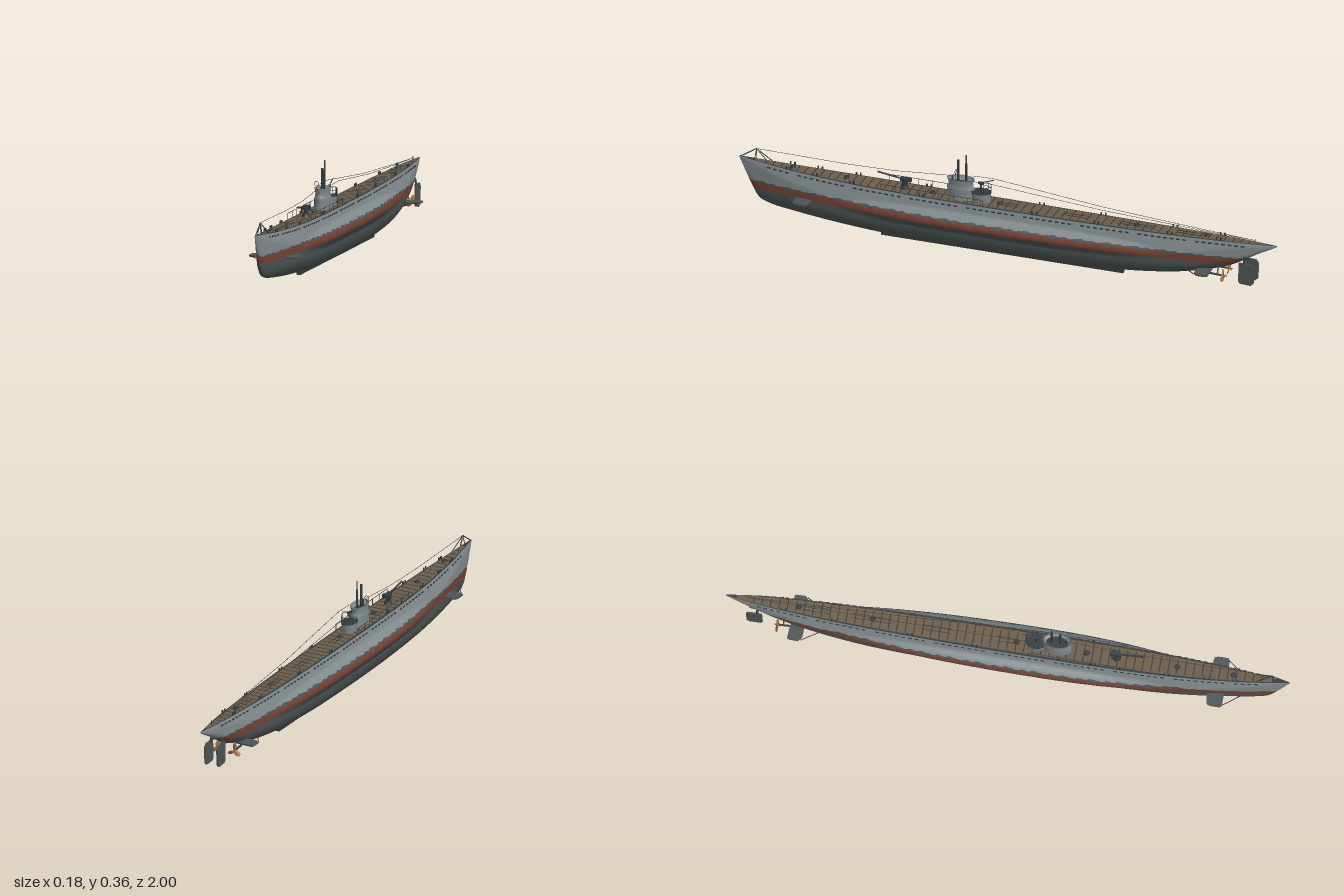
import * as THREE from 'three';

const mat = (name, color, side = THREE.FrontSide) => {
  const m = new THREE.MeshStandardMaterial({ color, side });
  m.name = name;
  return m;
};
const curve = (pts) => {
  const c = new THREE.CubicInterpolant(pts.map((p) => p[0]), pts.map((p) => p[1]), 1);
  return (t) => c.evaluate(t)[0];
};
const clamp = THREE.MathUtils.clamp;

// Hull lines along z: keel height, deck height, and half widths of body, tanks and deck
const keelY = curve([[-1, .192], [-.93, .155], [-.85, .108], [-.75, .07], [-.6, .037], [-.3, .01], [0, .004], [.3, .007],
  [.6, .022], [.8, .04], [.89, .054], [.925, .07], [.945, .1], [1, .214]]);
const deckY = curve([[-1, .197], [-.5, .191], [0, .19], [.5, .193], [.8, .203], [1, .216]]);
const bodyW = curve([[-1, .001], [-.95, .011], [-.85, .026], [-.7, .045], [-.5, .061], [-.2, .07], [.3, .07], [.55, .062],
  [.7, .049], [.85, .029], [.94, .013], [1, .001]]);
const tankW = curve([[-.72, .038], [-.5, .066], [-.3, .082], [0, .091], [.3, .088], [.5, .073], [.7, .046]]);
const deckW = curve([[-1, .001], [-.9, .015], [-.7, .03], [-.3, .043], [.3, .046], [.6, .039], [.8, .025], [.92, .012], [1, .001]]);

function halfWidth(z, y) {
  const k = keelY(z), d = deckY(z), yc = Math.max(.09, k + .4 * (d - k));
  const arc = (t) => Math.sqrt(Math.max(0, 1 - t * t));
  const body = bodyW(z) * arc((y - yc) / Math.max(.001, y < yc ? yc - k : d - yc));
  if (y <= k + 1e-5) return 0;
  const tank = Math.abs(z) < .72 ? tankW(z) * arc((y - .115) / (y < .115 ? .04 : .052)) : 0;
  const casing = y > yc ? Math.min(deckW(z) + (d - y) * .3, Math.max(bodyW(z), deckW(z))) : 0;
  return Math.max(body, tank, casing);
}

// Grid surface facing (i direction) x (j direction); pick(i) gives the material group of a row
function grid(ni, nj, fn, pick = () => 0) {
  const pos = [], groups = [];
  for (let i = 0; i <= ni; i++) for (let j = 0; j <= nj; j++) pos.push(...fn(i, j));
  for (let i = 0; i < ni; i++) for (let j = 0; j < nj; j++) {
    const a = i * (nj + 1) + j, c = a + nj + 1;
    (groups[pick(i)] ??= []).push(a, c, a + 1, a + 1, c, c + 1);
  }
  const g = new THREE.BufferGeometry();
  g.setAttribute('position', new THREE.Float32BufferAttribute(pos, 3));
  g.setIndex(groups.flat());
  let start = 0;
  groups.forEach((list, n) => { g.addGroup(start, list.length, n); start += list.length; });
  g.computeVertexNormals();
  return g;
}

export function createModel() {
  const root = new THREE.Group();
  root.name = 'submarine';
  const grey = mat('upper hull grey', 0x7f888b, THREE.DoubleSide), lower = mat('lower hull grey', 0x4b5453);
  const red = mat('waterline red', 0x74402f), wood = mat('deck wood', 0x6c5c47);
  const dark = mat('dark steel', 0x343a3c), bronze = mat('bronze', 0xa06d3e);

  const add = (name, geo, m, x = 0, y = 0, z = 0, parent = root) => {
    const mesh = new THREE.Mesh(geo, m);
    mesh.name = name;
    mesh.position.set(x, y, z);
    parent.add(mesh);
    return mesh;
  };
  const box = (name, w, h, d, m, x, y, z) => add(name, new THREE.BoxGeometry(w, h, d), m, x, y, z);
  const cyl = (name, r, h, m, x, y, z, r2 = r) => add(name, new THREE.CylinderGeometry(r2, r, h, 14), m, x, y + h / 2, z);
  const rod = (name, p, q, r, m = dark) => {
    const a = new THREE.Vector3(...p), b = new THREE.Vector3(...q), dir = b.clone().sub(a);
    const mesh = add(name, new THREE.CylinderGeometry(r, r, dir.length(), 8), m);
    mesh.position.copy(a).add(b).multiplyScalar(.5);
    mesh.quaternion.setFromUnitVectors(new THREE.Vector3(0, 1, 0), dir.normalize());
  };
  const plate = (pts, depth) => new THREE.ExtrudeGeometry(new THREE.Shape(pts.map((p) => new THREE.Vector2(...p))),
    { depth, bevelEnabled: false });
  const sides = [1, -1];

  // Hull sides, painted in bands with a ragged waterline
  const low = [0, .01, .04, .09, .16, .26, .38, .5, .6, .67, .7, .74, .8, .9, 1];
  const N = 200, zAt = (j) => -1 + 2 * j / N;
  const rowY = (i, j, z) => {
    const k = keelY(z), d = deckY(z);
    const jag = (((Math.floor(j / 2) * 7) % 5) / 4 - .5) * .008;
    const levels = [.107 + jag * .4, .131 + jag, .138 - jag * .6].map((y) => clamp(y, k, d));
    if (i <= 14) return k + (levels[0] - k) * low[i];
    if (i <= 17) return levels[0] + (levels[1] - levels[0]) * (i - 14) / 3;
    if (i === 18) return levels[2];
    return levels[2] + (d - levels[2]) * (i - 18) / 10;
  };
  for (const s of sides) {
    const geo = grid(28, N, (i, n) => {
      const j = s > 0 ? n : N - n, z = zAt(j), y = rowY(i, j, z);
      return [s * halfWidth(z, y), y, z];
    }, (i) => (i < 14 ? 0 : i < 17 ? 1 : i < 18 ? 2 : 3));
    add(s > 0 ? 'leftHull' : 'rightHull', geo, [lower, red, lower, grey]);
  }
  box('keel', .014, .014, .9, dark, 0, .007, .02);

  // Deck: steel margins, wooden planking and dark gaps
  add('deckMargin', grid(N, 2, (i, j) => [(j - 1) * deckW(zAt(i)), deckY(zAt(i)), zAt(i)]), dark);
  add('deckPlanking', grid(190, 2, (i, j) => {
    const z = -.96 + i * .01;
    return [(j - 1) * deckW(z) * .84, deckY(z) + .001, z];
  }), wood);
  for (let z = -.9; z < .92; z += .03) box('deckGap', deckW(z) * 1.5, .001, .004, dark, 0, deckY(z) + .001, z);
  for (const [z, l] of [[-.48, .14], [-.25, .1], [.0, .08], [-.68, .1]])
    for (const s of sides) box('deckSlot', .002, .002, l, dark, s * .008, deckY(z) + .0015, z);

  // Flood slots along the casing, and mooring bollards
  for (const s of sides) {
    for (let n = 0; n < 76; n++) {
      const z = -.88 + n * .0235, y = deckY(z) - .011;
      if (n % 9 !== 8) box('floodSlot', .004, .005, .013, dark, s * (halfWidth(z, y) - .0005), y, z).rotation.y =
        Math.atan2(halfWidth(z + .01, y) - halfWidth(z - .01, y), .02) * s;
    }
    for (const z of [-.8, -.62, -.35, -.12, .3, .56, .7, .8])
      for (const dz of [0, .016]) cyl('bollard', .003, .011, dark, s * deckW(z) * .86, deckY(z), z + dz);
    // Hand rails beside the tower
    for (let z = .08; z < .47; z += .054) rod('railPost', [s * .043, .19, z], [s * .043, .215, z], .0012);
    rod('handRail', [s * .043, .214, .08], [s * .043, .214, .46], .001);
  }
  // Deck hatches
  for (const z of [-.74, -.48, .03, .28, .6, .8]) cyl('deckHatch', .011, .007, dark, 0, deckY(z), z, .009);

  // Conning tower with flared rim and spray deflector
  const profile = [[1.08, 0], [1, .036], [1.14, .04], [1, .045], [.97, .06], [1.1, .076], [1.02, .076], [.9, .055], [0, .055]];
  const tower = add('conningTower', new THREE.LatheGeometry(profile.map((p) => new THREE.Vector2(...p)), 28), grey, 0, .19, .175);
  tower.scale.set(.025, 1, .046);
  const cockpit = add('towerFloor', new THREE.CylinderGeometry(1, 1, .002, 24), dark, 0, .247, .175);
  cockpit.scale.set(.022, 1, .04);
  const platform = add('gunPlatform', new THREE.CylinderGeometry(1, .9, .034, 24), grey, 0, .207, .1);
  platform.scale.set(.026, 1, .036);
  const floor = add('platformFloor', new THREE.CylinderGeometry(1.05, 1.05, .003, 24), dark, 0, .2255, .1);
  floor.scale.set(.026, 1, .036);
  for (const y of [.238, .251]) {
    const rail = add('platformRail', new THREE.TorusGeometry(1, .035, 5, 20, Math.PI), dark, 0, y, .1);
    rail.rotation.x = -Math.PI / 2;
    rail.scale.set(.027, .037, .03);
  }
  for (let n = 0; n <= 6; n++) {
    const a = n * Math.PI / 6, x = Math.cos(a) * .027, z = .1 - Math.sin(a) * .037;
    rod('platformPost', [x, .224, z], [x, .252, z], .001);
  }

  // Periscopes, direction finder loop and compass stand
  cyl('attackPeriscope', .0042, .085, dark, 0, .24, .155);
  cyl('attackPeriscopeHead', .0025, .033, dark, 0, .325, .155);
  cyl('skyPeriscope', .0045, .095, dark, 0, .24, .185);
  add('finderLoop', new THREE.TorusGeometry(.008, .001, 6, 20), dark, -.015, .281, .2);
  rod('finderStem', [-.015, .245, .2], [-.015, .273, .2], .0013);
  cyl('compassStand', .004, .028, dark, .004, .245, .205);

  // Anti-aircraft gun
  cyl('aircraftGunStand', .005, .03, dark, 0, .227, .1, .003);
  box('aircraftGunBreech', .008, .008, .02, dark, 0, .259, .1);
  rod('aircraftGunBarrel', [0, .258, .105], [0, .278, .052], .0018);

  // Deck gun
  cyl('deckGunBase', .016, .012, dark, 0, .191, .385, .012);
  cyl('deckGunPivot', .008, .02, dark, 0, .2, .385);
  box('deckGunBreech', .014, .013, .04, dark, 0, .226, .38);
  rod('deckGunBarrel', [0, .227, .39], [0, .24, .485], .0032);
  for (const s of sides) box('deckGunSight', .006, .016, .014, dark, s * .012, .222, .375);

  // Bow frame and antenna wires
  for (const s of sides) {
    rod('bowFrameLeg', [s * .014, deckY(.88), .88], [0, .254, .935], .0018);
    rod('bowFrameBrace', [s * .009, deckY(.94), .94], [0, .254, .935], .0014);
  }
  rod('bowFrameStay', [0, .254, .935], [0, .215, .995], .002);
  const wire = (name, pts, r = .0008) => pts.slice(1).forEach((p, n) => rod(name, pts[n], p, r));
  wire('foreAntenna', [[0, .254, .935], [0, .25, .6], [0, .254, .42], [0, .27, .215]]);
  for (const s of sides)
    wire('aftAntenna', [[s * .022, .27, .14], [s * .022, .272, .06], [s * .012, .235, -.35], [s * .004, .213, -.75], [0, .206, -.92]]);
  rod('sternStaff', [0, .195, -.92], [0, .212, -.92], .0015);

  for (const s of sides) {
    // Diving planes with guards
    const plane = (name, pts, y) => add(name, plate(pts.map(([x, z]) => [s * x, z]), .006).rotateX(Math.PI / 2), lower, 0, y + .003, 0);
    plane('bowPlane', [[.025, .735], [.05, .712], [.087, .718], [.092, .73], [.092, .765], [.085, .772], [.025, .772]], .108);
    plane('sternPlane', [[.012, -.765], [.08, -.77], [.084, -.76], [.084, -.73], [.07, -.718], [.012, -.715]], .078);
    rod('bowPlaneGuard', [s * .085, .108, .77], [s * .028, .108, .845], .0016);
    rod('sternPlaneGuard', [s * .08, .078, -.722], [s * .042, .085, -.66], .0016);

    // Rudder and its stock
    const blade = [[-.865, .05], [-.872, .042], [-.912, .04], [-.922, .05], [-.924, .108], [-.915, .12], [-.868, .122]];
    add('rudder', plate(blade, .006).rotateY(-Math.PI / 2), lower, s * .024 + .003, 0, 0);
    rod('rudderStock', [s * .024, .115, -.885], [s * .01, .165, -.885], .004);

    // Propeller shaft, bracket and three-bladed screw
    rod('propellerShaft', [s * .026, .072, -.64], [s * .032, .066, -.815], .0038);
    rod('shaftBracket', [s * .032, .067, -.79], [s * .012, .105, -.79], .0028, lower);
    const screw = new THREE.Group();
    screw.name = 'propeller';
    screw.position.set(s * .032, .066, -.812);
    root.add(screw);
    const hub = add('propellerHub', new THREE.ConeGeometry(.006, .02, 12), bronze, 0, 0, -.004, screw);
    hub.rotation.x = -Math.PI / 2;
    for (let n = 0; n < 3; n++) {
      const geo = new THREE.SphereGeometry(1, 12, 8).scale(.0085, .0125, .0016).rotateY(s * .6).translate(0, .0145, 0);
      add('propellerBlade', geo, bronze, 0, 0, 0, screw).rotation.z = n * Math.PI * 2 / 3;
    }
  }
  return root;
}
